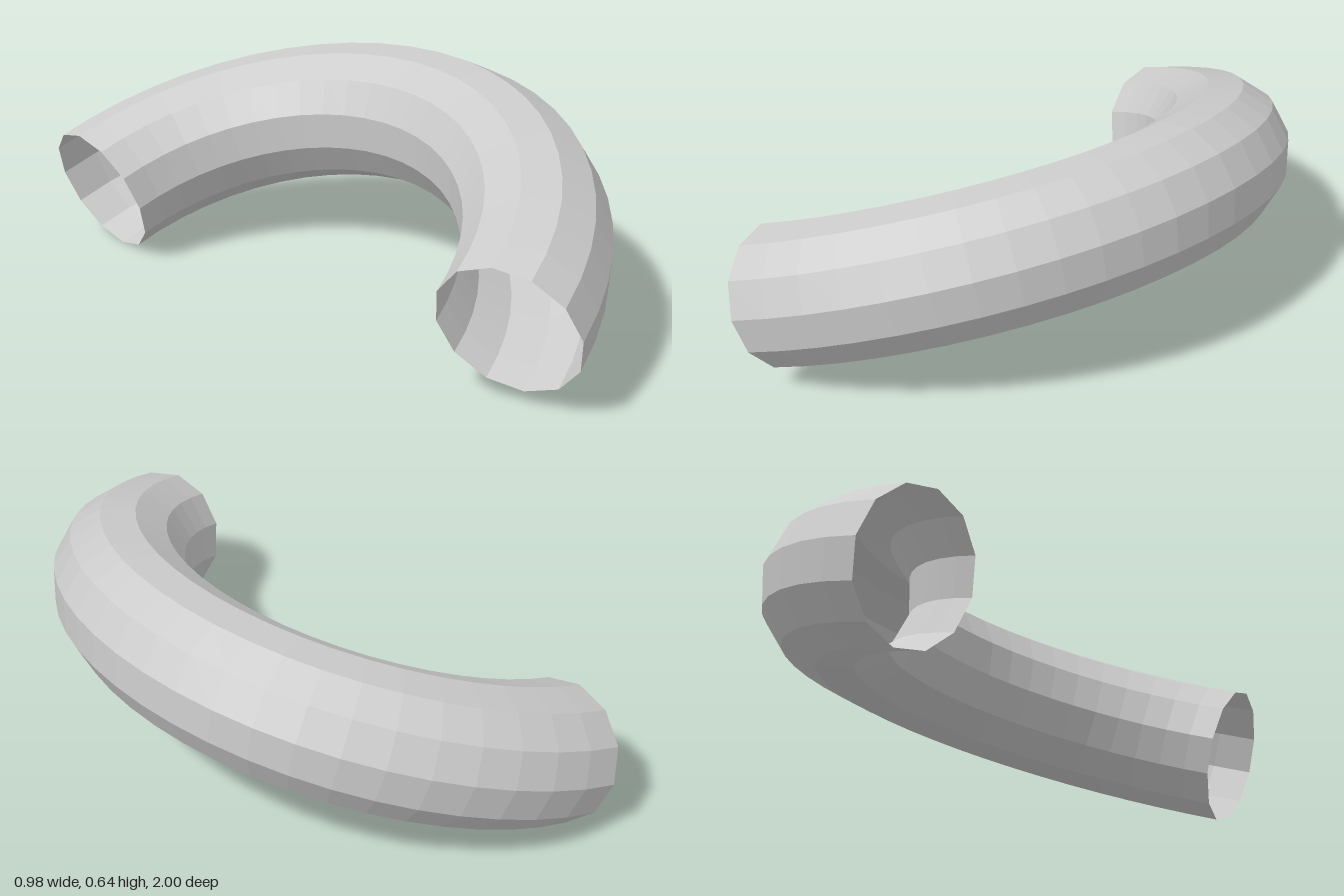
import * as THREE from 'three';

const deg = THREE.MathUtils.degToRad;

// flat arc of a little under half a turn, fuller toward the back
class BendCurve extends THREE.Curve {
  getPoint(t, target = new THREE.Vector3()) {
    const a = deg(THREE.MathUtils.lerp(-85.1, 76.4, t));
    const radius = 0.816 - 0.026 * Math.sin(2 * a);
    return target.set(radius * Math.cos(a), 0, radius * Math.sin(a));
  }
}

export function createModel() {
  const group = new THREE.Group();

  // open twelve-sided tube along the arc
  const geometry = new THREE.TubeGeometry(new BendCurve(), 24, 0.206, 12, false);
  geometry.rotateZ(deg(19.4)); // raise the bend above the two open ends
  geometry.translate(-0.482, 0.17, 0.018);

  const material = new THREE.MeshStandardMaterial({
    color: 0xcccccc, flatShading: true, side: THREE.DoubleSide,
  });
  const tube = new THREE.Mesh(geometry, material);
  tube.name = 'bentTube';
  group.add(tube);
  return group;
}
